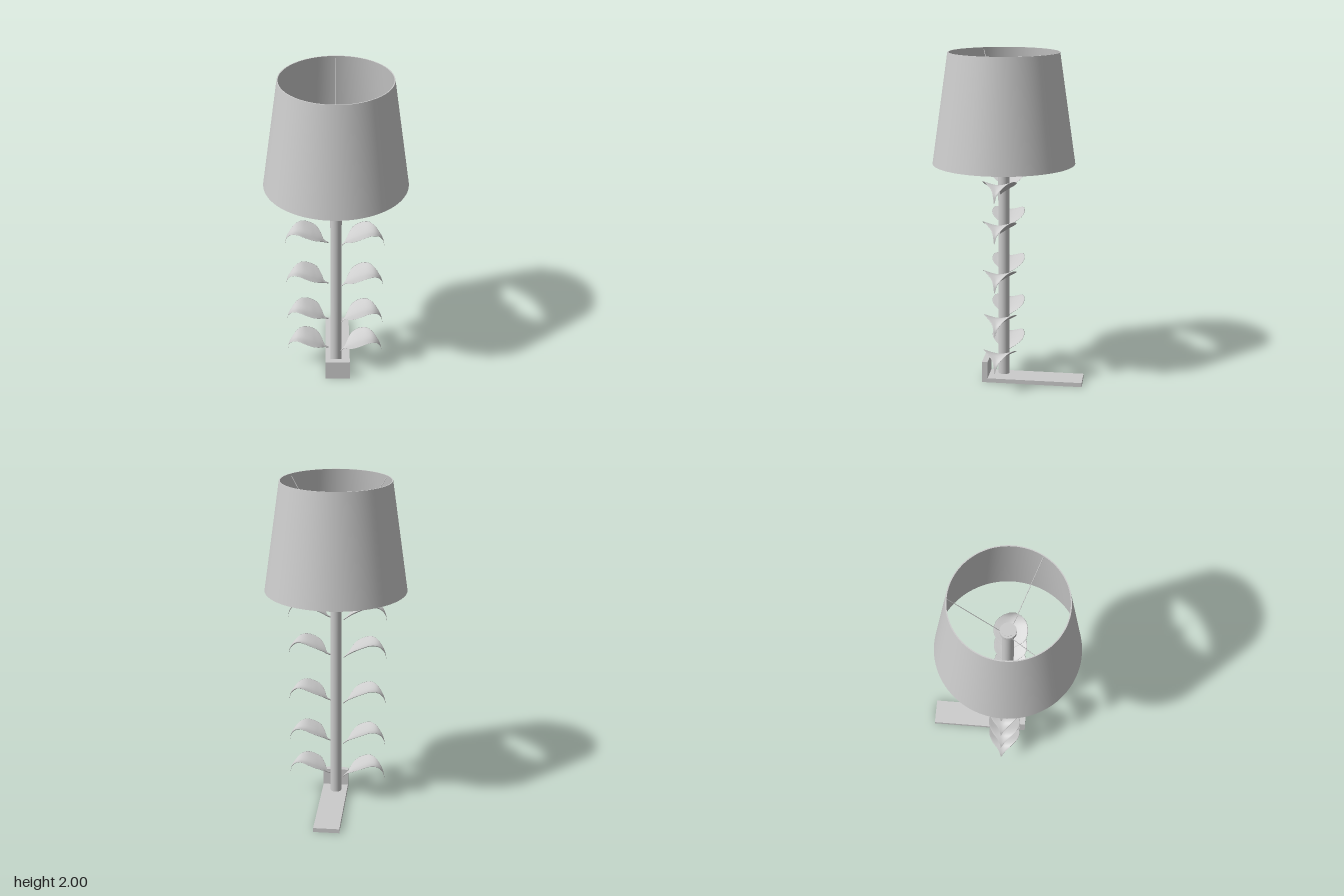
import * as THREE from 'three';

const CZ = 0.03; // z of the pole axis

// Leaf stations along +x: x, back edge z, front edge z, midrib height below the crest
const LEAF = [
  [0.03, 0.045, 0.051, -0.105], [0.055, 0.023, 0.048, -0.09],
  [0.075, -0.015, 0.09, -0.075], [0.1, -0.05, 0.124, -0.06],
  [0.14, -0.065, 0.135, -0.04], [0.19, -0.054, 0.125, -0.024],
  [0.23, -0.022, 0.1, -0.024], [0.26, 0.01, 0.068, -0.042],
  [0.28, 0.033, 0.054, -0.07], [0.288, 0.043, 0.048, -0.105],
];

// Thin closed blade, folded up along its midrib
function leafGeometry(steps = 40, sides = 24) {
  const back = new THREE.CatmullRomCurve3(LEAF.map(([x, a, , y]) => new THREE.Vector3(x, y, a)));
  const front = new THREE.CatmullRomCurve3(LEAF.map(([x, , b, y]) => new THREE.Vector3(x, y, b)));
  const pos = [], index = [];
  for (let i = 0; i <= steps; i++) {
    const p = back.getPoint(i / steps), q = front.getPoint(i / steps);
    const half = (q.z - p.z) / 2, mid = (q.z + p.z) / 2;
    const lift = 0.026 * Math.min(1, half / 0.09);
    const thick = Math.min(0.004, half);
    for (let j = 0; j < sides; j++) {
      const a = (j / sides) * Math.PI * 2, t = Math.cos(a);
      pos.push(p.x, p.y + lift * Math.abs(t) ** 1.5 + thick * Math.sin(a), mid + half * t);
      if (i < steps) {
        const k = i * sides, n = (j + 1) % sides;
        index.push(k + j, k + sides + j, k + n, k + n, k + sides + j, k + sides + n);
      }
    }
  }
  const g = new THREE.BufferGeometry();
  g.setAttribute('position', new THREE.Float32BufferAttribute(pos, 3));
  g.setIndex(index);
  g.computeVertexNormals();
  return g;
}

export function createModel() {
  const model = new THREE.Group();
  const mat = new THREE.MeshStandardMaterial({ color: 0xcccccc, side: THREE.DoubleSide });
  const add = (name, geo, x = 0, y = 0, z = 0) => {
    const m = new THREE.Mesh(geo, mat);
    m.name = name;
    m.position.set(x, y, z);
    model.add(m);
    return m;
  };

  // L-shaped foot
  add('basePlate', new THREE.BoxGeometry(0.155, 0.026, 0.61), 0.01, 0.013, -0.15);
  add('baseFront', new THREE.BoxGeometry(0.155, 0.13, 0.035), 0.01, 0.065, 0.1375);

  // Pole and the collar that carries the shade
  add('pole', new THREE.CylinderGeometry(0.034, 0.034, 1.58, 40), 0, 0.827, CZ);
  add('collar', new THREE.CylinderGeometry(0.047, 0.047, 0.03, 40), 0, 1.6, CZ);

  // Tapered shade with a thin wall
  const wall = [[0.42, 1.35], [0.325, 2], [0.319, 2], [0.414, 1.35], [0.42, 1.35]];
  wall.slice(1).forEach(([r, y], i) => {
    const pair = [new THREE.Vector2(...wall[i]), new THREE.Vector2(r, y)];
    add('shade', new THREE.LatheGeometry(pair, 96), 0, 0, CZ);
  });

  // Three sloping rods from the collar to the shade rim
  for (let i = 0; i < 3; i++) {
    const a = -Math.PI / 2 + (i * Math.PI * 2) / 3;
    const at = (r, y) => new THREE.Vector3(r * Math.cos(a), y, CZ + r * Math.sin(a));
    const rod = new THREE.LineCurve3(at(0.044, 1.6), at(0.32, 1.985));
    add('shadeRod', new THREE.TubeGeometry(rod, 1, 0.002, 8));
  }

  // Five pairs of leaves, each pair turned half round the pole
  const leaf = leafGeometry();
  for (const y of [0.245, 0.47, 0.74, 1.035, 1.274]) {
    add('leftLeaf', leaf, 0, y, 0);
    add('rightLeaf', leaf, -0.016, y, 2 * CZ).rotation.y = Math.PI;
  }
  return model;
}
